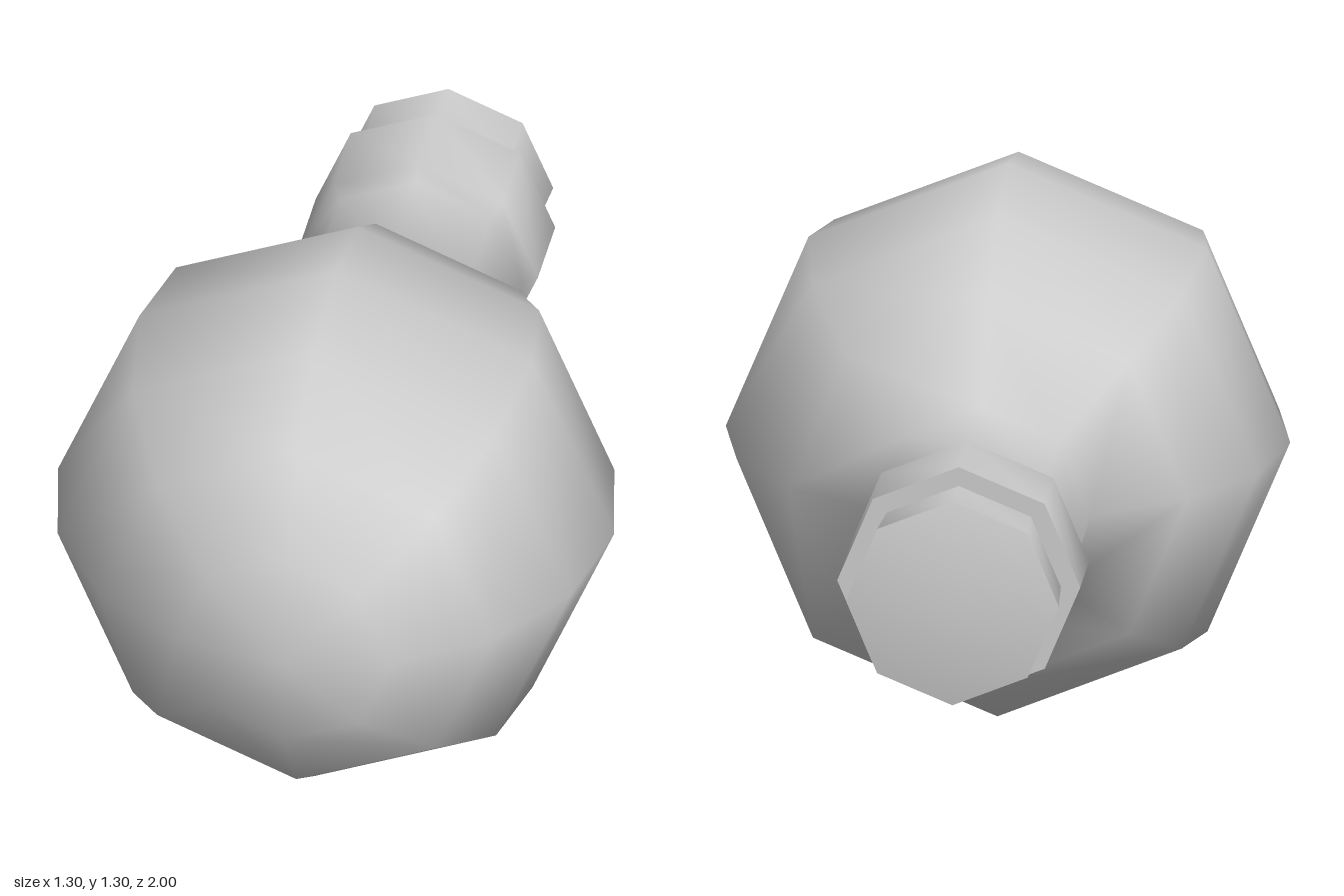
import * as THREE from 'three';
import { mergeVertices } from 'three/addons/utils/BufferGeometryUtils.js';

const SIDES = 8;
const AXIS_HEIGHT = 0.65;
const material = new THREE.MeshStandardMaterial({ color: 0xcccccc });

// Turns [radius, z] pairs, listed from back to front, around the z axis
function turned(name, profile) {
  const points = profile.map(([r, z]) => new THREE.Vector2(r, z));
  let geometry = new THREE.LatheGeometry(points, SIDES);
  geometry.deleteAttribute('uv');
  geometry.deleteAttribute('normal');
  geometry = mergeVertices(geometry, 1e-4); // one smooth skin across seam and poles
  geometry.computeVertexNormals();
  geometry.rotateX(Math.PI / 2);
  const mesh = new THREE.Mesh(geometry, material);
  mesh.name = name;
  mesh.position.y = AXIS_HEIGHT;
  return mesh;
}

export function createModel() {
  const group = new THREE.Group();
  group.name = 'roundFlask';

  // Neck with flared lip, running into the round bulb
  const profile = [[0.28, -0.8], [0.28, -0.6], [0.25, -0.57], [0.25, -0.25]];
  const radius = 0.65, centre = 0.35;
  for (let i = 6; i >= 0; i--) {
    const a = (i * Math.PI) / 8;
    profile.push([radius * Math.sin(a), centre + radius * Math.cos(a)]);
  }
  group.add(turned('flaskBody', profile));

  // Flat rim between lip and stopper
  group.add(turned('lipRim', [[0.22, -0.8], [0.28, -0.8]]));

  // Stopper: slightly flaring plug with a shallow pointed cap
  group.add(turned('stopperCap', [[0, -1], [0.245, -0.95]]));
  group.add(turned('stopperPlug', [[0.245, -0.95], [0.235, -0.8], [0.23, -0.7]]));

  return group;
}
